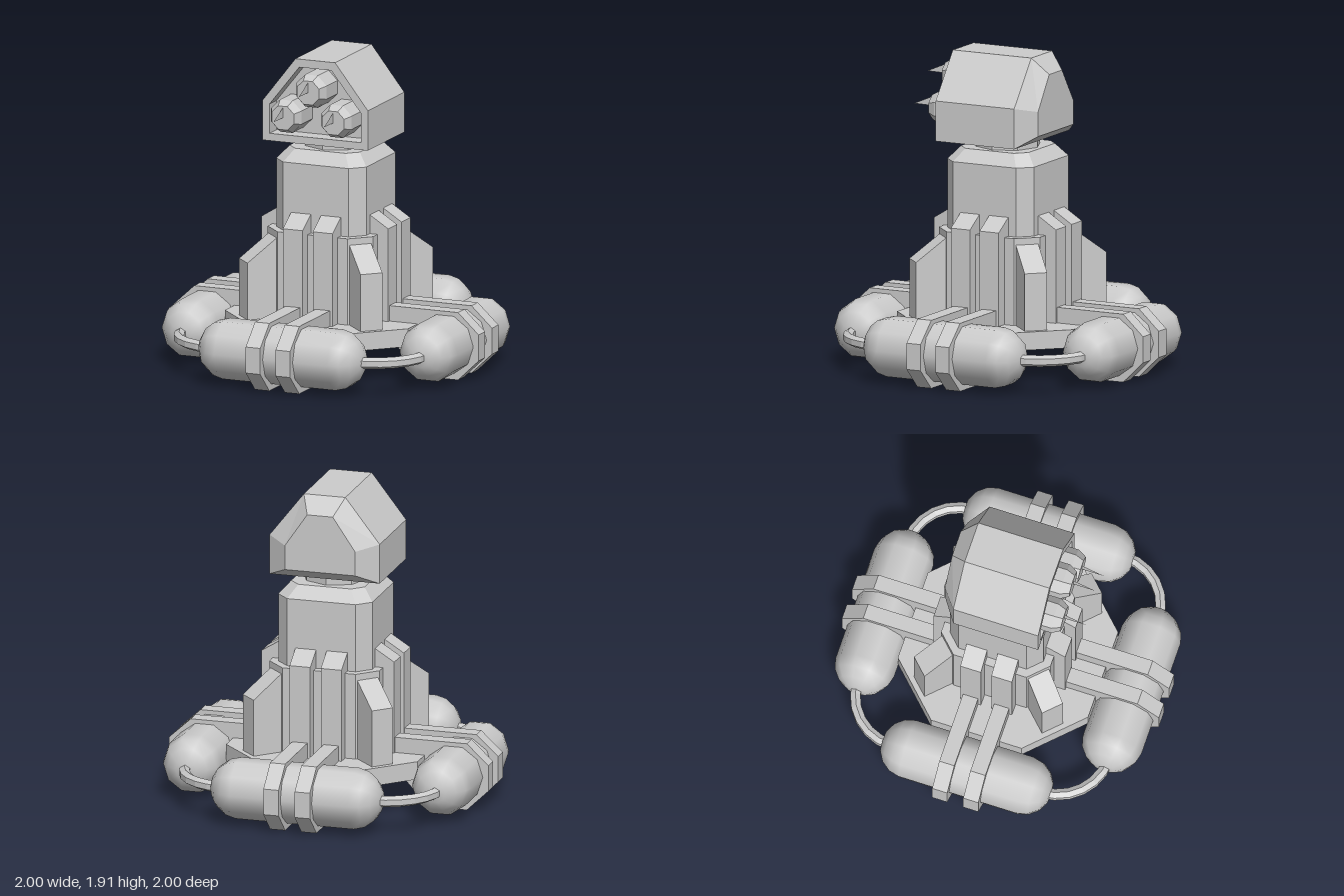
import * as THREE from 'three';

const flat = new THREE.MeshStandardMaterial({ color: 0xcccccc, flatShading: true });
const smooth = new THREE.MeshStandardMaterial({ color: 0xcccccc });
const thin = new THREE.MeshStandardMaterial({ color: 0xcccccc, flatShading: true, side: THREE.DoubleSide });

function add(parent, name, geometry, material = flat) {
  const mesh = new THREE.Mesh(geometry, material);
  mesh.name = name;
  parent.add(mesh);
  return mesh;
}

// Joins convex cross-sections in order and caps both ends.
function loft(sections) {
  const n = sections[0].length;
  const index = [];
  for (let s = 0; s < sections.length - 1; s++) {
    for (let i = 0; i < n; i++) {
      const a = s * n + i, b = s * n + (i + 1) % n;
      index.push(a, b, b + n, a, b + n, a + n);
    }
  }
  const last = (sections.length - 1) * n;
  for (let i = 1; i < n - 1; i++) {
    index.push(0, i + 1, i, last, last + i, last + i + 1);
  }
  const g = new THREE.BufferGeometry();
  g.setAttribute('position', new THREE.Float32BufferAttribute(sections.flat(2), 3));
  g.setIndex(index);
  const out = g.toNonIndexed();
  out.computeVertexNormals();
  return out;
}

// Square with cut corners at height y: h is half the width, c half the flat side.
const octagon = (h, c, y) =>
  [[h, c], [h, -c], [c, -h], [-c, -h], [-h, -c], [-h, c], [-c, h], [c, h]]
    .map(([x, z]) => [x, y, z]).reverse().map((p) => [p[0], p[1], -p[2]]).reverse()
    .map(([x, yy, z]) => [x, yy, z]).sort((p, q) => Math.atan2(-p[2], p[0]) - Math.atan2(-q[2], q[0]));

// Upright plate with an outline in radius and height, centred on z.
function plate(points, width, z = 0) {
  const shape = new THREE.Shape(points.map(([x, y]) => new THREE.Vector2(x, y)));
  return new THREE.ExtrudeGeometry(shape, { depth: width, bevelEnabled: false })
    .translate(0, 0, z - width / 2);
}

// Mirrored six-sided outline of the launcher head at depth z.
const headSection = (w, low, shoulder, topW, top, z) =>
  [[-w, low], [w, low], [w, shoulder], [topW, top], [-topW, top], [-w, shoulder]]
    .map(([x, y]) => [x, y, z]);

function createHead() {
  const head = new THREE.Group();
  head.name = 'launcherHead';
  // Housing with tapered back and recessed front
  add(head, 'housing', loft([
    headSection(0.22, 1.46, 1.61, 0.08, 1.815, -0.325),
    headSection(0.345, 1.395, 1.64, 0.13, 1.915, -0.23),
    headSection(0.345, 1.395, 1.64, 0.13, 1.915, 0.305),
    headSection(0.3, 1.44, 1.62, 0.105, 1.865, 0.305),
    headSection(0.3, 1.44, 1.62, 0.105, 1.865, 0.2),
  ]));
  // Three missiles with a chamfered nose and a thin blade tip
  for (const [x, y] of [[0, 1.74], [0.165, 1.57], [-0.165, 1.57]]) {
    const missile = new THREE.Group();
    missile.name = 'missile';
    missile.position.set(x, y, 0);
    const part = (front, back, z0, z1) =>
      new THREE.CylinderGeometry(front, back, z1 - z0, 8, 1, false, Math.PI / 8)
        .rotateX(Math.PI / 2).translate(0, 0, (z0 + z1) / 2);
    add(missile, 'missileBody', part(0.107, 0.107, 0.19, 0.36));
    add(missile, 'missileNose', part(0.078, 0.107, 0.36, 0.412));
    const blade = new THREE.Shape([[0.41, 0], [0.55, 0.003], [0.41, 0.063]]
      .map(([a, b]) => new THREE.Vector2(a, b)));
    add(missile, 'missileTip', new THREE.ShapeGeometry(blade).rotateY(-Math.PI / 2), thin);
    head.add(missile);
  }
  return head;
}

// One quarter of the base, built facing +x
function createQuarter() {
  const side = new THREE.Group();
  side.name = 'baseQuarter';

  // Rounded tank lying along z
  const half = [[0.185, 0.37], [0.168, 0.435], [0.125, 0.49], [0.065, 0.525], [0, 0.532]];
  const profile = [...half.map(([r, l]) => [r, -l]).reverse(), ...half]
    .map(([r, l]) => new THREE.Vector2(r, l));
  add(side, 'tank', new THREE.LatheGeometry(profile, 10, Math.PI / 10)
    .rotateX(Math.PI / 2).translate(0.78, 0.213, 0), smooth);

  for (const z of [-0.098, 0.098]) {
    // Clamp around the tank
    add(side, 'tankClamp', plate([
      [0.3, 0.22], [0.42, 0.22], [0.62, 0], [0.865, 0], [1, 0.13],
      [1, 0.29], [0.865, 0.415], [0.3, 0.415]], 0.095, z));
    // Upright rib on the tower
    add(side, 'towerRib', plate([
      [0.28, 0.28], [0.415, 0.28], [0.415, 0.89], [0.295, 0.965], [0.28, 0.965]], 0.13, z));
  }

  // Sloped buttress on the corner
  add(side, 'cornerButtress', plate([
    [0.38, 0.28], [0.594, 0.28], [0.594, 0.67], [0.406, 0.81], [0.38, 0.81]], 0.14))
    .rotation.y = -Math.PI / 4;

  // Curved pipe to the next tank
  const arc = [];
  for (let i = 0; i <= 6; i++) {
    const a = (i / 6) * Math.PI / 2;
    arc.push(new THREE.Vector3(0.47 + 0.32 * Math.cos(a), 0.21, 0.47 + 0.32 * Math.sin(a)));
  }
  add(side, 'connectingPipe',
    new THREE.TubeGeometry(new THREE.CatmullRomCurve3(arc), 6, 0.035, 6), flat);
  return side;
}

export function createModel() {
  const model = new THREE.Group();
  model.name = 'missileTurret';

  // Base plate, hollow underneath
  add(model, 'basePlate', loft([
    octagon(0.57, 0.27, 0.27), octagon(0.57, 0.27, 0.21),
    octagon(0.6, 0.285, 0.21), octagon(0.6, 0.285, 0.32)]));

  // Core, tower and neck
  add(model, 'lowerCore', loft([octagon(0.345, 0.23, 0.28), octagon(0.345, 0.23, 0.85)]));
  add(model, 'tower', loft([
    octagon(0.295, 0.215, 0.8), octagon(0.295, 0.215, 1.27), octagon(0.23, 0.165, 1.345)]));
  add(model, 'neck', new THREE.CylinderGeometry(0.2, 0.2, 0.08, 8).translate(0, 1.37, 0));

  model.add(createHead());

  for (let i = 0; i < 4; i++) {
    const side = createQuarter();
    side.rotation.y = i * Math.PI / 2;
    model.add(side);
  }
  return model;
}
